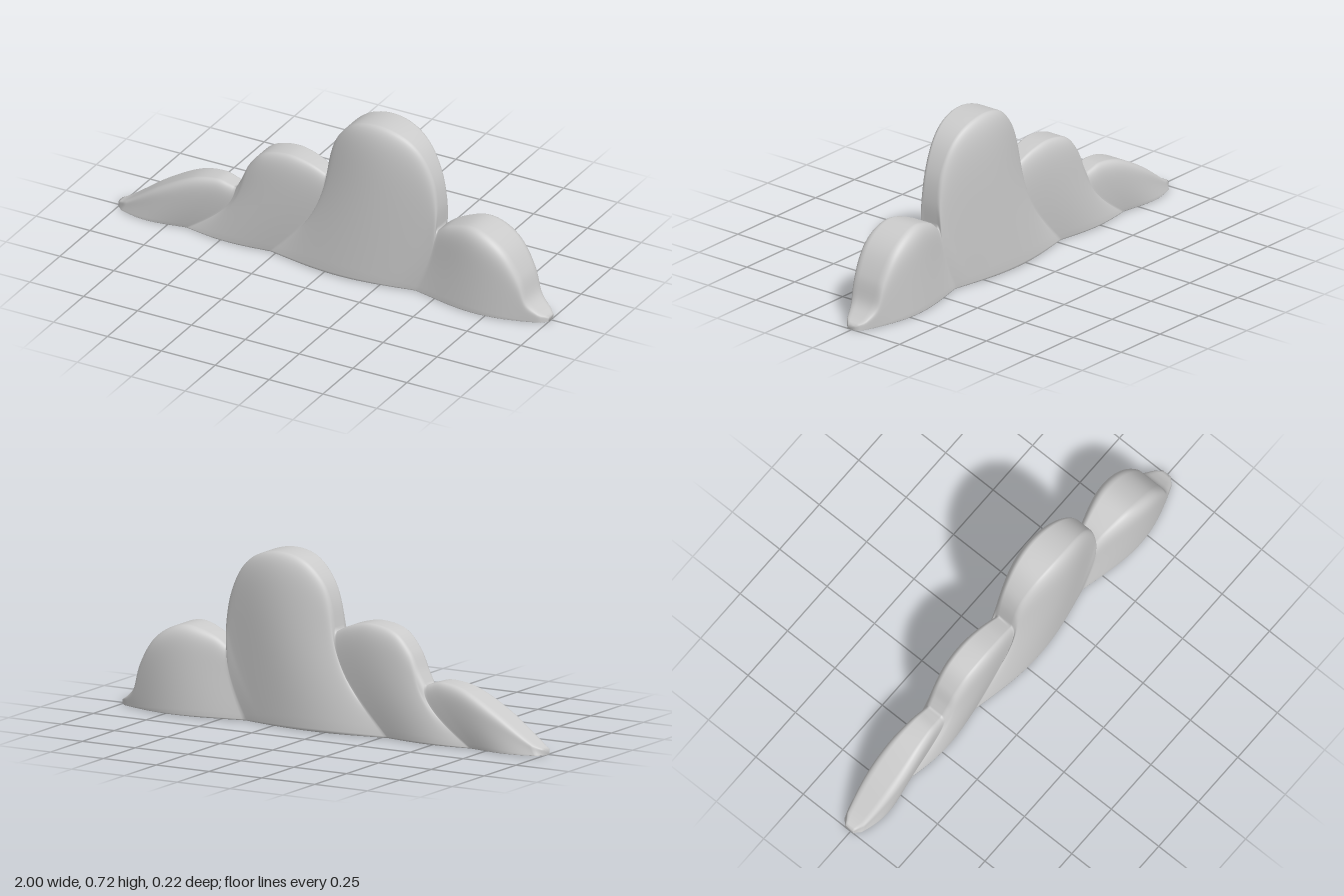
import * as THREE from 'three';

// Seams between lobes, left to right: base x, half thickness, z centre
const SEAMS = [
  { x: -1, t: 0.036, z: -0.008 },
  { x: -0.67, t: 0.052, z: -0.012 },
  { x: -0.275, t: 0.055, z: -0.004 },
  { x: 0.4, t: 0.055, z: 0 },
  { x: 1, t: 0.036, z: 0 },
];

// Each lobe: thickness at its middle and its upper contour
const LOBES = [
  { mid: 0.076, top: [[-1, 0.025], [-0.95, 0.05], [-0.8, 0.155], [-0.65, 0.235], [-0.54, 0.257], [-0.48, 0.245], [-0.45, 0.235]] },
  { mid: 0.077, top: [[-0.45, 0.235], [-0.42, 0.29], [-0.38, 0.37], [-0.31, 0.44], [-0.2, 0.465], [-0.1, 0.447], [-0.02, 0.41]] },
  { mid: 0.105, top: [[-0.02, 0.41], [0, 0.53], [0.04, 0.62], [0.12, 0.695], [0.23, 0.72], [0.34, 0.695], [0.42, 0.63], [0.475, 0.52], [0.495, 0.4], [0.49, 0.29]] },
  { mid: 0.109, top: [[0.49, 0.29], [0.55, 0.335], [0.66, 0.37], [0.75, 0.35], [0.83, 0.29], [0.89, 0.19], [0.92, 0.09], [0.96, 0.045], [1, 0.02]] },
];

const COLS = 52, ROWS = 28;
const { lerp, clamp } = THREE.MathUtils;

// Height fraction and width factor from the base up to the rounded crown
function sectionProfile() {
  const rows = [[0, 0.93], [0.005, 0.98], [0.018, 1]];
  for (let k = 1; k <= ROWS; k++) {
    const s = k / ROWS;
    const f = 0.018 + 0.982 * (1 - (1 - s) ** 1.8);
    rows.push([f, 0.54 + 0.46 * Math.sqrt(Math.max(0, 1 - f ** 10))]);
  }
  return rows;
}

function createCloudGeometry() {
  const rows = sectionProfile();
  const ringSize = rows.length * 2;
  const pos = [], idx = [];
  let rings = 0;

  LOBES.forEach((lobe, n) => {
    const a = SEAMS[n], b = SEAMS[n + 1];
    const contour = new THREE.SplineCurve(lobe.top.map(p => new THREE.Vector2(...p)));
    const x0 = lobe.top[0][0], x1 = lobe.top.at(-1)[0];
    for (let c = n ? 1 : 0; c <= COLS; c++) {
      const u = c / COLS;
      const tip = contour.getPointAt(u);
      const base = lerp(a.x, b.x, u);
      const across = clamp((tip.x - x0) / (x1 - x0), 0, 1);
      const edge = lerp(a.t, b.t, u);
      const zc = lerp(a.z, b.z, u);
      const taper = Math.min(1, 0.6 + (1 - Math.abs(base)) * 16);
      // leaning section: up the front, over the crown, down the back;
      // the bulge follows the x position so steep flanks stay thin
      const put = ([f, w], side) => {
        const lean = Math.sin(f * Math.PI / 2);
        const bulge = Math.sin(Math.PI * lerp(u, across, lean));
        const half = edge + (lobe.mid - edge) * Math.max(0, bulge) ** 1.05;
        pos.push(lerp(base, tip.x, lean), f * tip.y, zc + side * half * w * taper);
      };
      rows.forEach(r => put(r, 1));
      [...rows].reverse().forEach(r => put(r, -1));
      rings++;
    }
  });

  // Skin between neighbouring sections, base included
  for (let i = 0; i < rings - 1; i++) {
    for (let j = 0; j < ringSize; j++) {
      const k = (j + 1) % ringSize;
      const p = i * ringSize + j, q = i * ringSize + k;
      idx.push(p, p + ringSize, q + ringSize, p, q + ringSize, q);
    }
  }
  // Close the two tips
  const last = (rings - 1) * ringSize;
  for (let j = 1; j < ringSize - 1; j++) {
    idx.push(0, j, j + 1, last, last + j + 1, last + j);
  }

  const geo = new THREE.BufferGeometry();
  geo.setAttribute('position', new THREE.Float32BufferAttribute(pos, 3));
  geo.setIndex(idx);
  geo.computeVertexNormals();
  return geo;
}

export function createModel() {
  const group = new THREE.Group();
  group.name = 'cloud';
  const body = new THREE.Mesh(createCloudGeometry(), new THREE.MeshStandardMaterial({ color: 0xcccccc }));
  body.name = 'cloudBody';
  group.add(body);
  return group;
}
